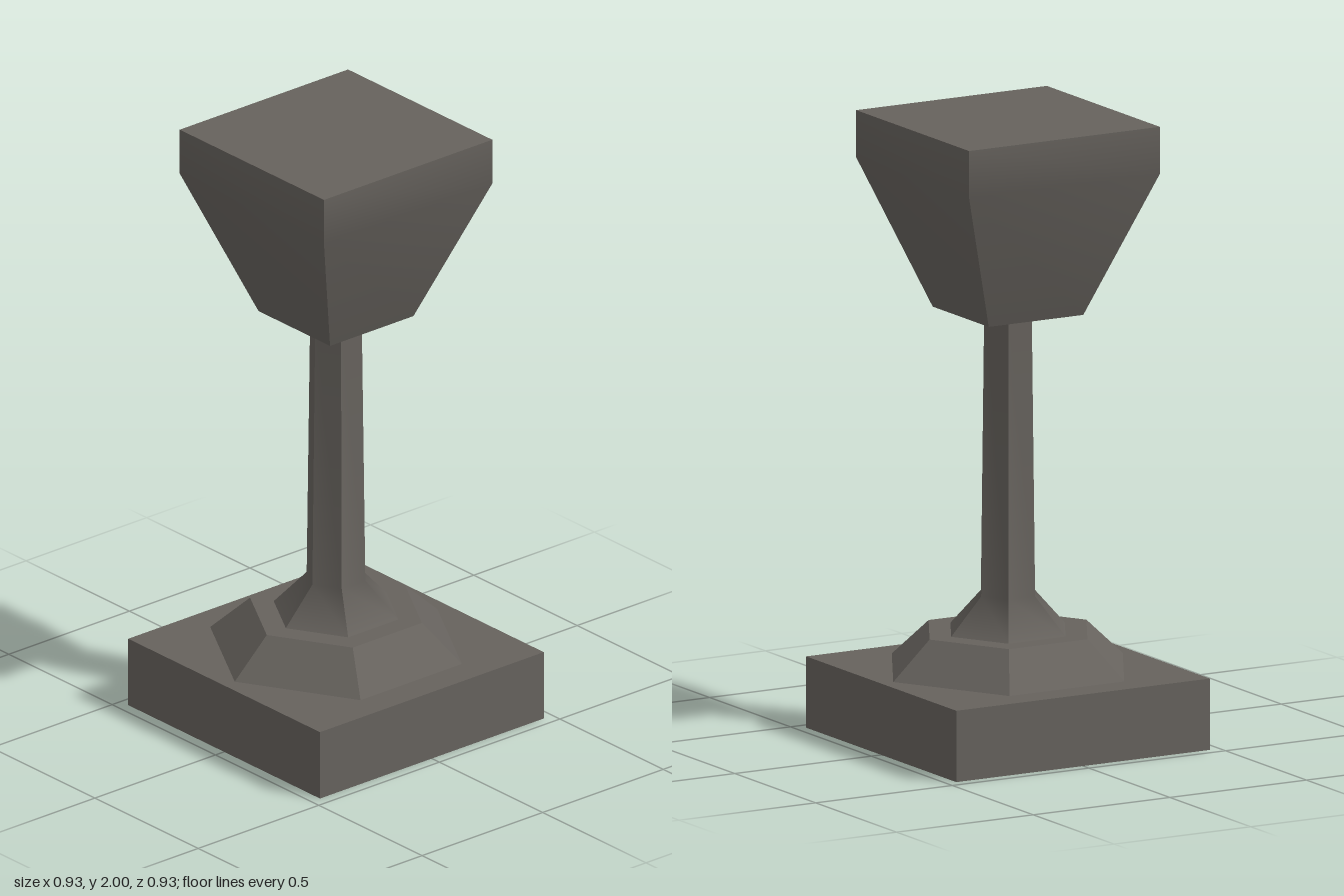
import * as THREE from 'three';
import { mergeGeometries } from 'three/addons/utils/BufferGeometryUtils.js';

const darkStone = new THREE.MeshStandardMaterial({ color: 0x66625d, side: THREE.DoubleSide });
darkStone.name = 'darkStone';

// Sweeps a profile [radius, y] (bottom to top) round n sides. Each side is its own
// panel: smooth along the profile, sharp at the corners.
function panels(n, start, profile) {
  const points = profile.map(([r, y]) => new THREE.Vector2(r, y));
  const step = (2 * Math.PI) / n;
  const sides = [];
  for (let i = 0; i < n; i++) {
    const side = new THREE.LatheGeometry(points, 1, start + i * step, step);
    side.computeVertexNormals();
    sides.push(side);
  }
  return mergeGeometries(sides);
}

// Square sections take half-widths, hexagonal ones take corner radii (corners on +-x)
const square = (profile) => panels(4, Math.PI / 4, profile.map(([w, y]) => [w * Math.SQRT2, y]));
const hexagon = (profile) => panels(6, Math.PI / 2, profile);

export function createModel() {
  const model = new THREE.Group();
  model.name = 'pedestalGoblet';

  const addPart = (name, bands) => {
    const mesh = new THREE.Mesh(mergeGeometries(bands), darkStone);
    mesh.name = name;
    model.add(mesh);
  };

  // Square base, hollow and open underneath
  addPart('base', [
    square([[0.464, 0], [0.464, 0.23]]),
    square([[0.464, 0.23], [0, 0.23]]),
  ]);

  // Hexagonal plinth with sloped sides and a flat ledge
  addPart('plinth', [
    hexagon([[0.42, 0.23], [0.287, 0.352]]),
    hexagon([[0.287, 0.352], [0.208, 0.352]]),
  ]);

  // Tapered hexagonal stem with a flared foot
  addPart('stem', [hexagon([[0.208, 0.352], [0.098, 0.47], [0.086, 1.38]])]);

  // Square cup widening to an upright rim, closed at both ends
  addPart('cup', [
    square([[0, 1.38], [0.173, 1.38]]),
    square([[0.173, 1.38], [0.349, 1.848], [0.349, 2]]),
    square([[0.349, 2], [0, 2]]),
  ]);

  return model;
}
